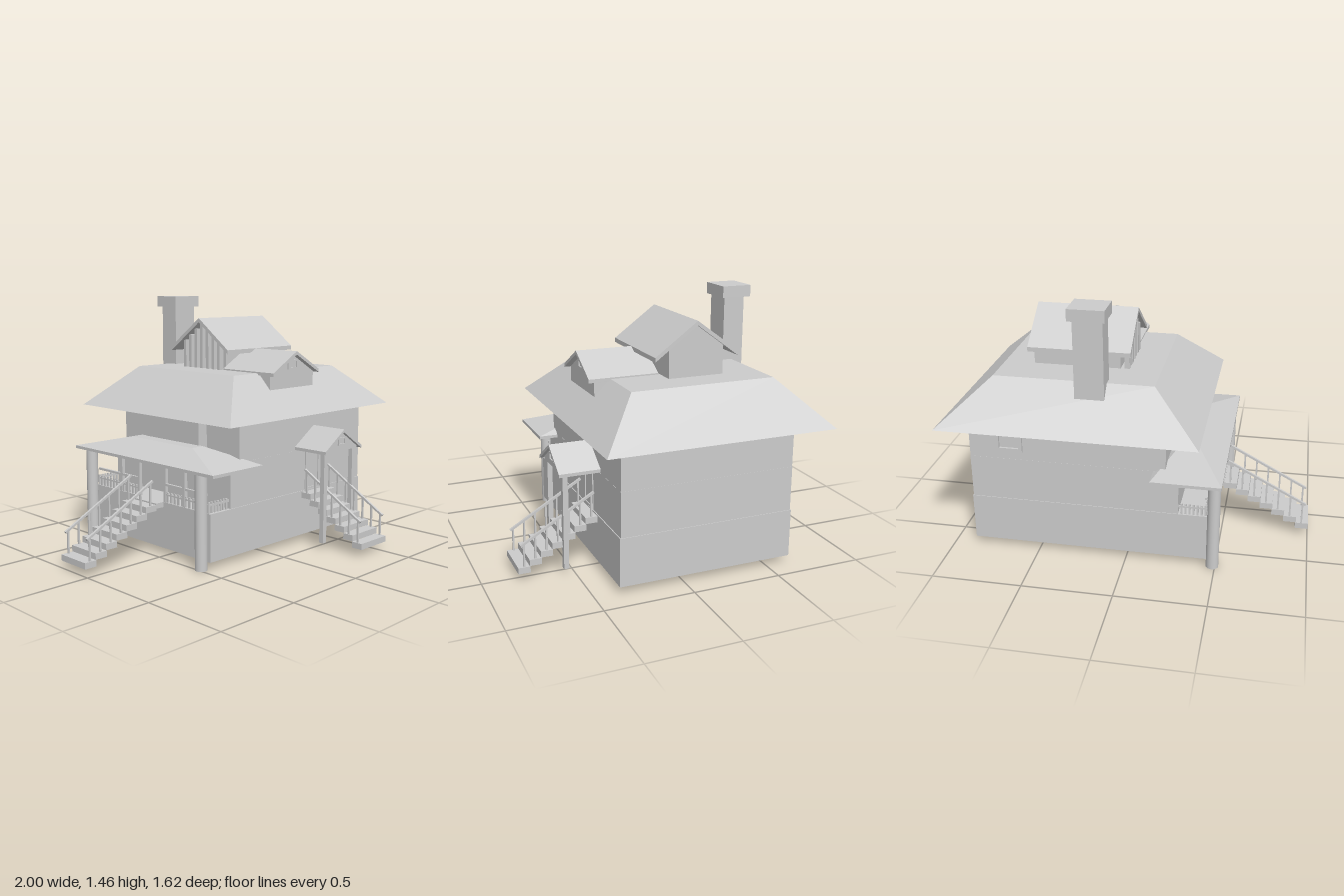
import * as THREE from 'three';

export function createModel() {
  const model = new THREE.Group();
  model.name = 'house';
  const grey = new THREE.MeshStandardMaterial({ color: 0xcccccc, side: THREE.DoubleSide });
  grey.name = 'plain grey';

  const add = (geometry, name, parent = model) => {
    const mesh = new THREE.Mesh(geometry, grey);
    mesh.name = name;
    parent.add(mesh);
    return mesh;
  };
  // Box from its minimum and maximum on each axis
  const box = (name, x0, x1, y0, y1, z0, z1, parent) => {
    const mesh = add(new THREE.BoxGeometry(x1 - x0, y1 - y0, z1 - z0), name, parent);
    mesh.position.set((x0 + x1) / 2, (y0 + y1) / 2, (z0 + z1) / 2);
    return mesh;
  };
  // Box whose top rectangle differs from its bottom; rectangles are [x0, x1, z0, z1]
  const hip = (name, bottom, top, y0, y1) => {
    const g = new THREE.BoxGeometry(1, 1, 1).toNonIndexed();
    const p = g.attributes.position;
    for (let i = 0; i < p.count; i++) {
      const up = p.getY(i) > 0, r = up ? top : bottom;
      p.setXYZ(i, p.getX(i) < 0 ? r[0] : r[1], up ? y1 : y0, p.getZ(i) < 0 ? r[2] : r[3]);
    }
    g.computeVertexNormals();
    return add(g, name);
  };
  // Outline extruded along z from z0 to z1
  const prism = (name, points, z0, z1, parent) => {
    const shape = new THREE.Shape(points.map(([x, y]) => new THREE.Vector2(x, y)));
    const g = new THREE.ExtrudeGeometry(shape, { depth: z1 - z0, bevelEnabled: false });
    g.translate(0, 0, z0);
    return add(g, name, parent);
  };
  // Thin pitched roof with the ridge along z
  const pitched = (name, half, ridge, eave, thick, z0, z1, parent) => prism(name, [
    [-half, eave], [0, ridge], [half, eave], [half, eave - thick], [0, ridge - thick], [-half, eave - thick],
  ], z0, z1, parent);
  const frame = (name, x0, x1, y0, y1, z0, z1, w, parent) => {
    box(name, x0, x0 + w, y0, y1, z0, z1, parent);
    box(name, x1 - w, x1, y0, y1, z0, z1, parent);
    box(name, x0 + w, x1 - w, y0, y0 + w, z0, z1, parent);
    box(name, x0 + w, x1 - w, y1 - w, y1, z0, z1, parent);
  };

  // Ground storey, open underneath
  box('baseFrontWall', -0.45, 0.877, 0.04, 0.31, 0.345, 0.365);
  box('baseBackWall', -0.45, 0.877, 0.04, 0.31, -0.637, -0.617);
  box('baseLeftWall', 0.857, 0.877, 0.04, 0.31, -0.617, 0.345);
  box('baseRightWall', -0.45, -0.43, 0.04, 0.31, -0.617, 0.345);
  box('floor', -0.43, 0.857, 0.285, 0.309, -0.617, 0.345);

  // Upper storey with a narrower top and a small side bay
  box('upperWalls', -0.29, 0.873, 0.31, 0.56, -0.633, 0.36);
  box('topWalls', -0.22, 0.872, 0.56, 0.79, -0.632, 0.359);
  box('sideBay', -0.285, -0.22, 0.56, 0.79, -0.35, 0.1);
  frame('door', 0.345, 0.475, 0.312, 0.555, 0.36, 0.366, 0.012);
  frame('backWindow', 0.57, 0.72, 0.61, 0.74, -0.645, -0.632, 0.02);

  // Main roof
  hip('mainRoof', [-0.415, 1, -0.81, 0.48], [-0.15, 0.73, -0.575, 0.245], 0.788, 1.027);

  // Chimney
  box('chimney', 0.105, 0.265, 0.9, 1.39, -0.645, -0.52);
  box('chimneyCap', 0.087, 0.285, 1.39, 1.455, -0.675, -0.5);

  // Roof-top gable house, ridge turned along x
  const attic = new THREE.Group();
  attic.name = 'attic';
  attic.rotation.y = Math.PI / 2;
  attic.position.z = -0.2;
  model.add(attic);
  pitched('atticRoof', 0.245, 1.33, 1.15, 0.025, 0.003, 0.572, attic);
  prism('atticWalls', [[-0.16, 1], [0.16, 1], [0.16, 1.187], [0, 1.304], [-0.16, 1.187]], 0.075, 0.56, attic);
  for (let i = -3; i <= 3; i++) {
    const x = i * 0.049;
    box('atticPost', x - 0.011, x + 0.011, 1.02, 1.3 - Math.abs(x) * 0.735, 0.025, 0.055, attic);
  }

  // Front dormer
  const dormer = new THREE.Group();
  dormer.name = 'dormer';
  dormer.position.x = 0.245;
  model.add(dormer);
  pitched('dormerRoof', 0.202, 1.15, 1.035, 0.02, -0.03, 0.37, dormer);
  prism('dormerWalls', [[-0.19, 0.935], [0.19, 0.935], [0.19, 1.02], [0, 1.13], [-0.19, 1.02]], 0, 0.335, dormer);
  frame('dormerWindow', -0.042, 0.042, 1.045, 1.1, 0.335, 0.343, 0.01, dormer);

  // Entrance canopy and posts
  const canopy = new THREE.Group();
  canopy.name = 'canopy';
  canopy.position.x = 0.42;
  model.add(canopy);
  pitched('canopyRoof', 0.17, 0.697, 0.585, 0.018, 0.36, 0.59, canopy);
  prism('canopyGable', [[-0.15, 0.568], [0.15, 0.568], [0.15, 0.58], [0, 0.679], [-0.15, 0.58]], 0.36, 0.57, canopy);
  frame('canopyWindow', -0.034, 0.034, 0.603, 0.647, 0.57, 0.578, 0.008, canopy);
  for (const s of [-1, 1]) {
    box('canopyPost', s * 0.132 - 0.015, s * 0.132 + 0.015, 0.035, 0.57, 0.535, 0.563, canopy);
  }

  // Stairs climb toward their local origin and descend along local +z
  const stairs = (name, width, run) => {
    const g = new THREE.Group();
    g.name = name;
    model.add(g);
    const n = 7, rise = 0.0375;
    for (let i = 0; i < n; i++) {
      const z = (n - 1 - i) * run, top = 0.077 + i * rise;
      box('step', -width / 2, width / 2, top - 0.035, top, z, z + run + 0.004, g);
      for (const s of [-1, 1]) {
        const x = s * (width / 2 - 0.01), zc = z + run / 2;
        box('railPost', x - 0.005, x + 0.005, top, top + 0.13, zc - 0.005, zc + 0.005, g);
      }
    }
    for (const s of [-1, 1]) {
      const rail = add(new THREE.BoxGeometry(0.014, 0.012, Math.hypot(run, rise) * 6.5), 'handRail', g);
      rail.position.set(s * (width / 2 - 0.01), 0.077 + 3 * rise + 0.13, run * 3.5);
      rail.rotation.x = Math.atan2(rise, run);
    }
    return g;
  };
  stairs('frontStairs', 0.235, 0.063).position.set(0.43, 0, 0.365);
  const side = stairs('sideStairs', 0.215, 0.0705);
  side.position.set(-0.503, 0, -0.125);
  side.rotation.y = -Math.PI / 2;
  box('sideLanding', -0.505, -0.45, 0.28, 0.31, -0.232, -0.018);

  // Side porch: roof, corner columns, small posts and picket railing
  box('porchEave', -0.53, -0.15, 0.535, 0.552, -0.74, 0.47);
  hip('porchRoof', [-0.53, -0.15, -0.74, 0.47], [-0.36, -0.28, -0.4, 0.13], 0.552, 0.63);
  for (const z of [-0.637, 0.33]) {
    const column = add(new THREE.CylinderGeometry(0.035, 0.035, 0.54, 20), 'porchColumn');
    column.position.set(-0.485, 0.27, z);
  }
  for (const z of [-0.4, -0.24, -0.01, 0.15]) {
    box('porchPost', -0.448, -0.428, 0.31, 0.54, z - 0.01, z + 0.01);
  }
  for (const [z0, z1] of [[-0.62, -0.24], [-0.01, 0.33]]) {
    box('porchRail', -0.447, -0.433, 0.405, 0.418, z0, z1);
    for (let z = z0 + 0.02; z < z1; z += 0.03) box('picket', -0.444, -0.436, 0.31, 0.37, z - 0.007, z + 0.007);
    box('lowerRail', -0.446, -0.434, 0.35, 0.36, z0, z1);
  }
  for (const z of [-0.625, 0.345]) {
    box('endRail', -0.45, -0.29, 0.35, 0.36, z - 0.005, z + 0.005);
    for (let x = -0.44; x < -0.3; x += 0.022) box('picket', x - 0.006, x + 0.006, 0.31, 0.372, z - 0.004, z + 0.004);
  }
  return model;
}
